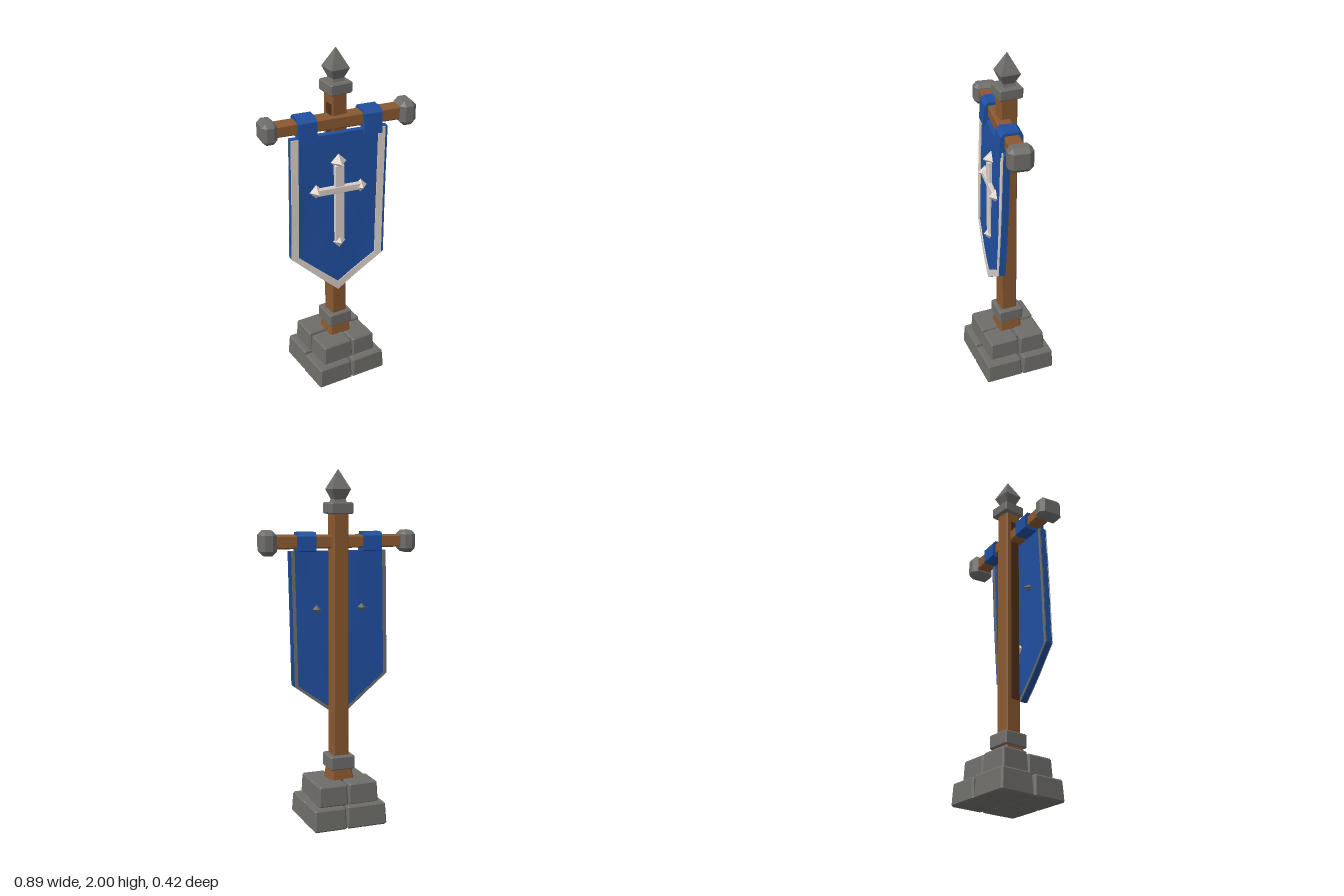
import * as THREE from 'three';
import { ConvexGeometry } from 'three/addons/geometries/ConvexGeometry.js';

const mat = (name, color) => new THREE.MeshStandardMaterial({ name, color });
const lerp = THREE.MathUtils.lerp;

export function createModel() {
  const stone = mat('stone', 0x6e6d6a);
  const wood = mat('wood', 0x8a5830);
  const darkWood = mat('dark wood', 0x4f2e18);
  const cloth = mat('blue cloth', 0x1f4f9f);
  const pale = mat('pale trim', 0xd8cec6);

  const model = new THREE.Group();
  model.name = 'bannerStand';

  const add = (parent, name, geometry, material, x = 0, y = 0, z = 0) => {
    const mesh = new THREE.Mesh(geometry, material);
    mesh.name = name;
    mesh.position.set(x, y, z);
    parent.add(mesh);
    return mesh;
  };

  // Box with chamfered edges; the top is scaled by taper
  const block = (w, h, d, b = 0.01, taper = 1) => {
    const pts = [];
    for (const sx of [-1, 1]) for (const sy of [-1, 1]) for (const sz of [-1, 1]) {
      for (let k = 0; k < 3; k++) {
        const inset = [0, 1, 2].map(i => (i === k ? 0 : b));
        const t = sy > 0 ? taper : 1;
        pts.push(new THREE.Vector3(
          sx * (w / 2 - inset[0]) * t, sy * (h / 2 - inset[1]), sz * (d / 2 - inset[2]) * t));
      }
    }
    return new ConvexGeometry(pts);
  };

  // Stone footing: two tiers of four blocks, [x0, x1, z0, z1]
  const footing = new THREE.Group();
  footing.name = 'footing';
  model.add(footing);
  const tiers = [
    { y: 0, h: 0.13, stones: [[-0.215, 0.028, -0.21, 0.003], [0.028, 0.223, -0.212, -0.015],
      [-0.218, 0.0, 0.003, 0.208], [0.002, 0.22, -0.013, 0.208]] },
    { y: 0.125, h: 0.125, stones: [[-0.176, 0.005, -0.172, 0.0], [0.004, 0.182, -0.168, -0.012],
      [-0.17, 0.023, 0.0, 0.172], [0.023, 0.172, -0.012, 0.17]] },
  ];
  tiers.forEach(({ y, h, stones }, t) => stones.forEach(([x0, x1, z0, z1], i) => {
    add(footing, `footingStone${t * 4 + i + 1}`,
      block(x1 - x0, h - i * 0.003, z1 - z0, 0.009, 0.94),
      stone, (x0 + x1) / 2, y + (h - i * 0.003) / 2, (z0 + z1) / 2);
  }));
  add(footing, 'footingCore', new THREE.BoxGeometry(0.26, 0.22, 0.26), stone, 0, 0.12, 0);

  // Upright pole with its collars and spear tip
  add(model, 'pole', block(0.09, 1.54, 0.094, 0.006), wood, 0, 1.02, 0.003);
  add(model, 'poleGroove', new THREE.BoxGeometry(0.004, 1.12, 0.055), darkWood, -0.0445, 1.14, 0.014);
  add(model, 'poleFoot', block(0.135, 0.08, 0.135, 0.008, 0.88), wood, 0, 0.275, 0);
  add(model, 'lowerCollar', block(0.146, 0.08, 0.146, 0.007), stone, 0, 0.345, 0);
  add(model, 'upperCollar', block(0.134, 0.064, 0.134, 0.007), stone, 0.003, 1.787, 0);
  const tipProfile = [[0, 1.8], [0.055, 1.815], [0.045, 1.835], [0.078, 1.89], [0, 2]]
    .map(([r, y]) => new THREE.Vector2(r, y));
  const tip = new THREE.LatheGeometry(tipProfile, 4, Math.PI / 4).toNonIndexed();
  tip.computeVertexNormals();
  add(model, 'spearTip', tip, stone, 0.003, 0, 0);

  // Everything hung on the crossbar is turned slightly
  const hanging = new THREE.Group();
  hanging.name = 'hangingBanner';
  hanging.position.z = 0.03;
  hanging.rotation.y = -0.143;
  model.add(hanging);

  const bar = block(0.74, 0.072, 0.084, 0.008);
  const bp = bar.attributes.position;
  for (let i = 0; i < bp.count; i++) bp.setY(i, bp.getY(i) * (1 + bp.getX(i) * 0.2));
  bar.computeVertexNormals();
  add(hanging, 'crossbar', bar, wood, 0, 1.602, 0);
  add(hanging, 'rightBarCap', block(0.084, 0.122, 0.136, 0.022), stone, -0.4, 1.6, 0);
  add(hanging, 'leftBarCap', block(0.096, 0.14, 0.136, 0.026), stone, 0.393, 1.597, 0);

  // Cloth loops over the bar, drawn as a side profile
  const loopShape = new THREE.Shape([[-0.042, 0.055], [0.042, 0.055], [0.062, 0.036], [0.07, -0.082],
    [0.03, -0.082], [0.042, -0.048], [-0.04, -0.052], [-0.06, -0.046], [-0.06, 0.034]]
    .map(([z, y]) => new THREE.Vector2(z, y)));
  const loop = new THREE.ExtrudeGeometry(loopShape, { depth: 0.106, bevelEnabled: false });
  loop.translate(0, 0, -0.053).rotateY(-Math.PI / 2);
  add(hanging, 'rightLoop', loop, cloth, -0.194, 1.6, 0);
  add(hanging, 'leftLoop', loop, cloth, 0.18, 1.6, 0);

  // Banner surface: u runs across, v runs down, w is depth
  const sag = (u, v) => 0.034 + 0.021 * v + 0.003 * Math.sin(u * 9 + v * 5) * v;
  const bannerPoint = (u, v, w) => {
    const hem = u < 0.5 ? lerp(0.835, 0.58, u * 2) : lerp(0.58, 0.78, u * 2 - 1);
    return [lerp(lerp(-0.288, -0.305, v), lerp(0.27, 0.25, v), u), lerp(1.548, hem, v), sag(u, v) + w];
  };
  const panel = (u0, u1, v0, v1, w, thick, nu = 16) => {
    const g = new THREE.BoxGeometry(1, 1, 1, nu, 20, 1);
    const p = g.attributes.position;
    for (let i = 0; i < p.count; i++) {
      p.setXYZ(i, ...bannerPoint(lerp(u0, u1, p.getX(i) + 0.5),
        lerp(v0, v1, 0.5 - p.getY(i)), w + p.getZ(i) * thick));
    }
    g.computeVertexNormals();
    return g;
  };
  add(hanging, 'banner', panel(0, 1, 0, 1, 0, 0.036), cloth);

  // Pale border on the front, narrow grey border on the back
  for (const [side, material, w, wide, hem] of [
    ['front', pale, 0.019, 0.075, 0.943], ['back', stone, -0.018, 0.035, 0.975]]) {
    add(hanging, side + 'RightTrim', panel(0, wide, 0.002, hem, w, 0.008, 2), material);
    add(hanging, side + 'LeftTrim', panel(0.975 - wide, 0.975, 0.002, hem, w, 0.008, 2), material);
    add(hanging, side + 'HemTrim', panel(0, 0.975, hem, 0.998, w, 0.008, 78), material);
  }

  // Cross emblem: broad bars ending in faceted studs that pierce the cloth
  const emblem = new THREE.Group();
  emblem.name = 'crossEmblem';
  emblem.position.set(-0.018, 0, 0.055);
  hanging.add(emblem);
  add(emblem, 'uprightBar', block(0.06, 0.47, 0.044, 0.006, 0.95), pale, 0, 1.135, 0.002);
  add(emblem, 'crossArm', block(0.25, 0.044, 0.046, 0.006), pale, -0.002, 1.222, 0.003);
  const stud = (name, x, y, rx, ry, back) => {
    const depth = 0.05;
    add(emblem, name, new THREE.OctahedronGeometry(1).scale(rx, ry, depth), pale, x, y, -0.003);
    // Grey rivet where the stud shows behind the cloth
    if (back) {
      add(emblem, name + 'Rivet', new THREE.OctahedronGeometry(1).scale(0.036, 0.036, 0.054),
        stone, x, y, -0.014);
    }
  };
  stud('topStud', 0, 1.382, 0.05, 0.05, false);
  stud('bottomStud', 0, 0.897, 0.056, 0.062, false);
  stud('rightStud', -0.132, 1.225, 0.046, 0.048, true);
  stud('leftStud', 0.128, 1.218, 0.046, 0.048, true);

  return model;
}
